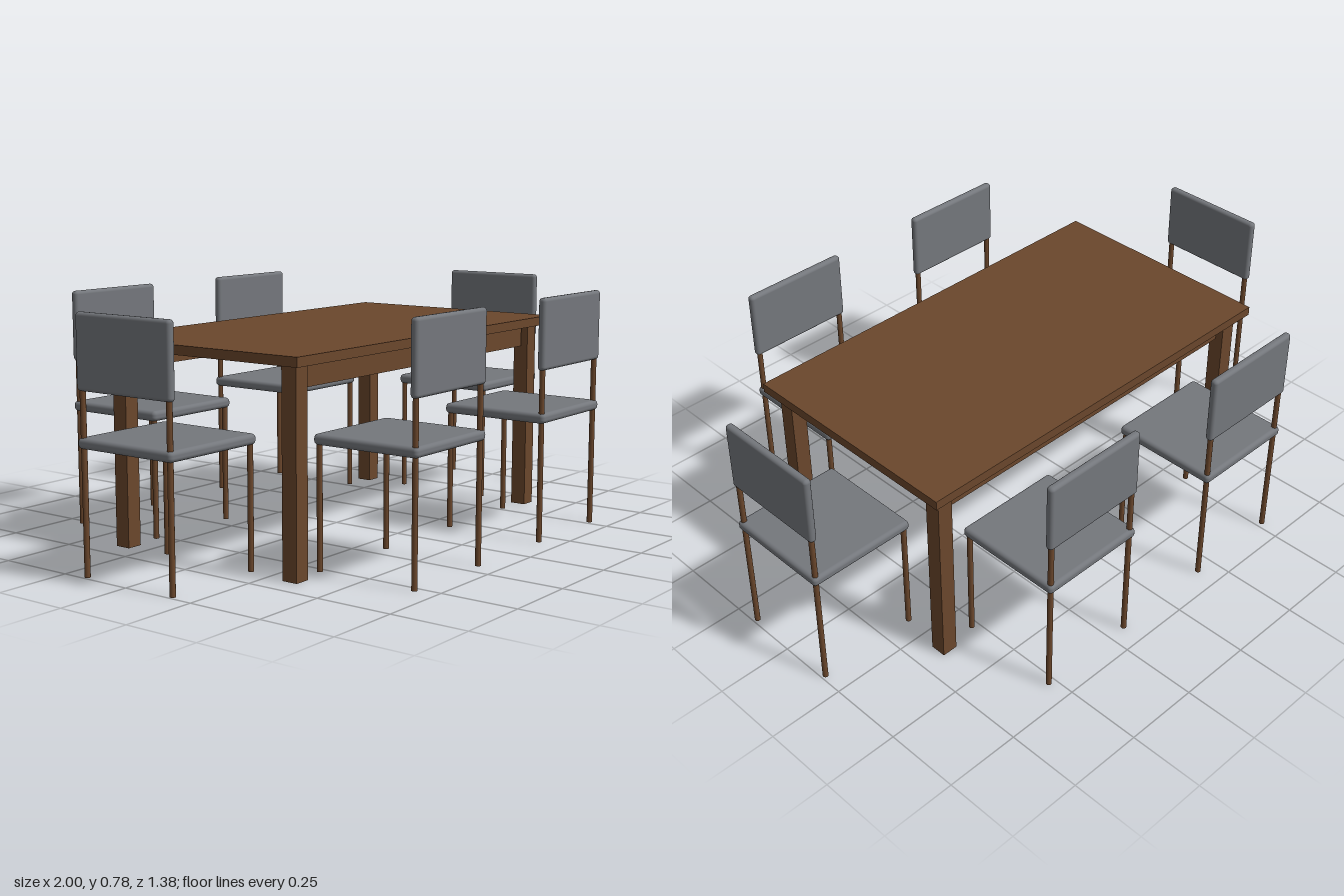
import * as THREE from 'three';
import { RoundedBoxGeometry } from 'three/addons/geometries/RoundedBoxGeometry.js';

const wood = new THREE.MeshStandardMaterial({ color: 0x6b472c });
wood.name = 'brown wood';
const fabric = new THREE.MeshStandardMaterial({ color: 0x74777c });
fabric.name = 'grey upholstery';

function addMesh(parent, name, geometry, material, x, y, z) {
  const mesh = new THREE.Mesh(geometry, material);
  mesh.name = name;
  mesh.position.set(x, y, z);
  parent.add(mesh);
  return mesh;
}

function createTable() {
  const table = new THREE.Group();
  table.name = 'table';
  addMesh(table, 'tableTop', new THREE.BoxGeometry(1.414, 0.03, 0.796), wood, 0, 0.652, 0);
  const leg = new THREE.BoxGeometry(0.053, 0.637, 0.053);
  const apron = new THREE.BoxGeometry(1.208, 0.072, 0.02);
  for (const sz of [-1, 1]) {
    // Aprons run along the long sides only
    addMesh(table, 'apron', apron, wood, 0, 0.601, sz * 0.338);
    for (const sx of [-1, 1]) addMesh(table, 'tableLeg', leg, wood, sx * 0.645, 0.3185, sz * 0.338);
  }
  return table;
}

// A chair centred on its seat, with the backrest on its +z side
function createChair() {
  const chair = new THREE.Group();
  chair.name = 'chair';
  addMesh(chair, 'seat', new RoundedBoxGeometry(0.37, 0.033, 0.37, 4, 0.013), fabric, 0, 0.4005, 0);
  addMesh(chair, 'backrest', new RoundedBoxGeometry(0.37, 0.229, 0.026, 4, 0.0115), fabric, 0, 0.668, 0.17);
  for (const sx of [-1, 1]) {
    for (const [name, z, height] of [['frontLeg', -0.17, 0.395], ['backLeg', 0.17, 0.58]]) {
      addMesh(chair, name, new THREE.CylinderGeometry(0.009, 0.009, height, 16), wood, sx * 0.17, height / 2, z);
    }
  }
  return chair;
}

export function createModel() {
  const model = new THREE.Group();
  model.name = 'diningSet';
  model.add(createTable());
  // Two chairs on each long side and one at each end, all facing the table
  const places = [
    [-0.353, 0.504, 0], [0.353, 0.504, 0],
    [-0.353, -0.504, Math.PI], [0.353, -0.504, Math.PI],
    [0.815, 0, Math.PI / 2], [-0.815, 0, -Math.PI / 2],
  ];
  for (const [x, z, turn] of places) {
    const chair = createChair();
    chair.position.set(x, 0, z);
    chair.rotation.y = turn;
    model.add(chair);
  }
  return model;
}
